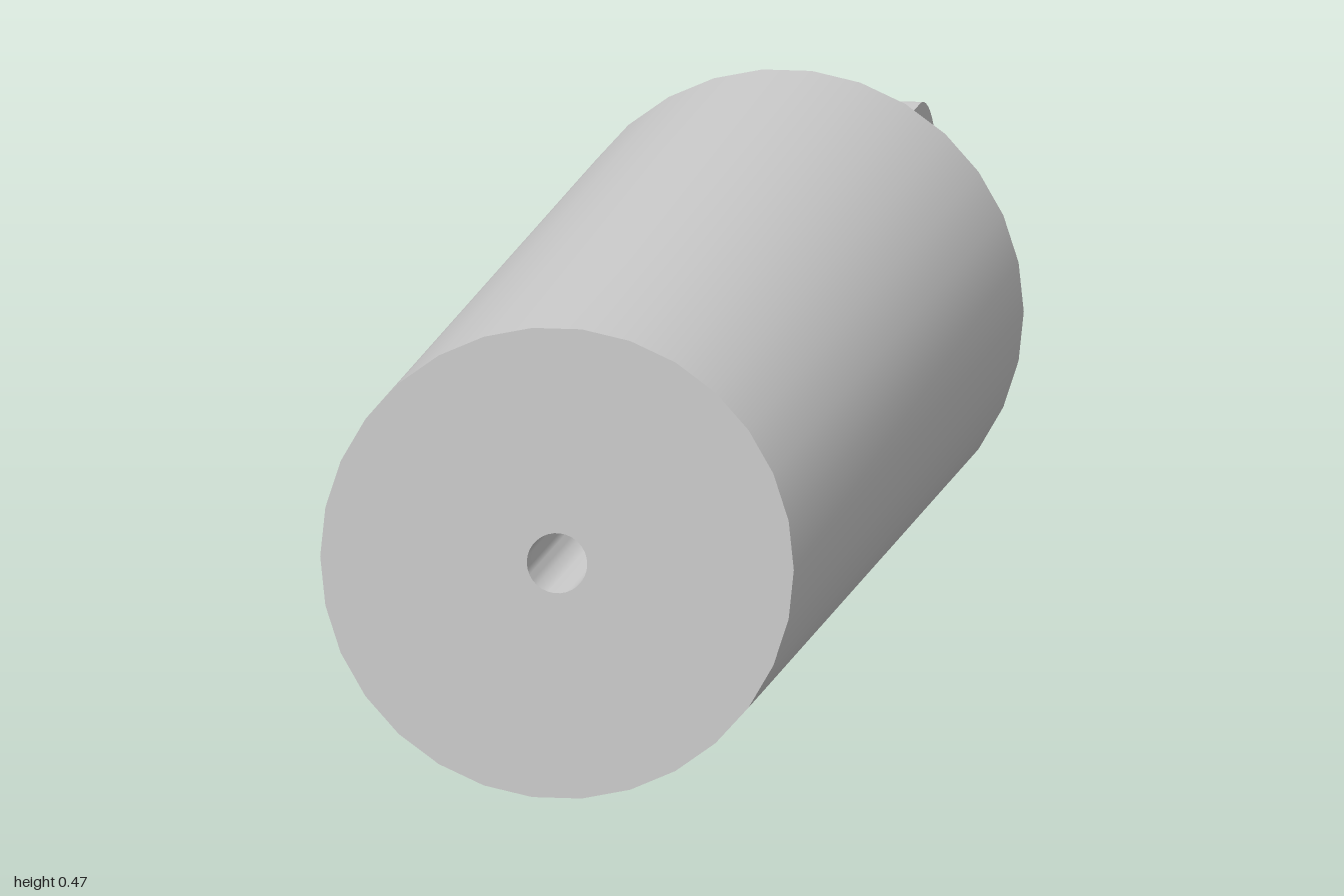
import * as THREE from 'three';
import { toCreasedNormals } from 'three/addons/utils/BufferGeometryUtils.js';

const R = 0.235;        // body radius, also the axis height
const BODY_BACK = -0.41;
const HOLE = 0.03;      // radius of both holes
const CREASE = Math.PI / 6;

function addPart(group, name, geometry) {
  const material = new THREE.MeshStandardMaterial({ color: 0xcccccc });
  const mesh = new THREE.Mesh(toCreasedNormals(geometry, CREASE), material);
  mesh.name = name;
  mesh.position.y = R;
  group.add(mesh);
}

export function createModel() {
  const group = new THREE.Group();
  group.name = 'rodEndCylinder';

  // Cylindrical body with a blind hole in the front face
  const profile = [
    [0, BODY_BACK], [R, BODY_BACK], [R, 1], [HOLE, 1], [HOLE, 0.7], [0, 0.7],
  ].map(([r, z]) => new THREE.Vector2(r, z));
  const body = new THREE.LatheGeometry(profile, 30, Math.PI / 2);
  body.rotateX(Math.PI / 2);
  addPart(group, 'body', body);

  // Flat lug with a rounded end and a cross hole, drawn sideways then turned
  const half = 0.115, thickness = 0.11, eye = 1 - half;
  const outline = new THREE.Shape();
  outline.moveTo(-BODY_BACK, -half);
  outline.lineTo(eye, -half);
  outline.absarc(eye, 0, half, -Math.PI / 2, Math.PI / 2, false);
  outline.lineTo(-BODY_BACK, half);
  outline.closePath();
  outline.holes.push(new THREE.Path().absarc(eye, 0, HOLE, 0, Math.PI * 2, true));
  const lug = new THREE.ExtrudeGeometry(outline, {
    depth: thickness, bevelEnabled: false, curveSegments: 24,
  });
  lug.translate(0, 0, -thickness / 2);
  lug.rotateY(Math.PI / 2);
  addPart(group, 'lug', lug);

  return group;
}
